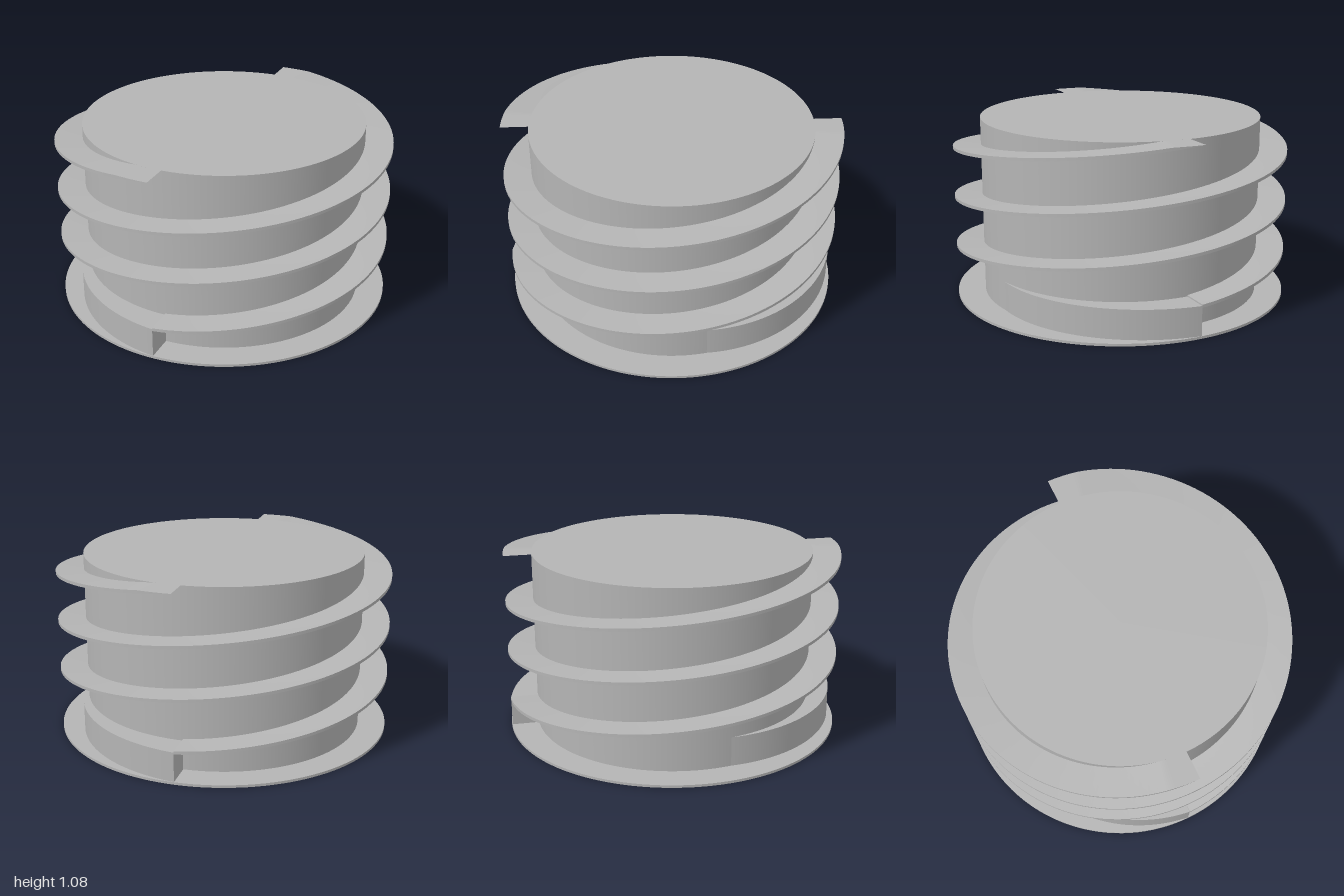
import * as THREE from 'three';
import { ParametricGeometry } from 'three/addons/geometries/ParametricGeometry.js';

const CORE = 0.835, RIM = 1, TOP = 1.08, BASE = 0.015;
const COLLAR_TOP = 0.19, LEAD = 0.6, THICK = 0.018;
const POCKET_R = 0.82, POCKET_IN = 0.015, POCKET_DEPTH = 0.17;
const rad = THREE.MathUtils.degToRad;
const mix = THREE.MathUtils.lerp;
const START = -26; // angle in degrees from the front, where threads and collars begin or end

export function createModel() {
  const grey = new THREE.MeshStandardMaterial({ color: 0xb4b4b4, side: THREE.DoubleSide });
  grey.name = 'grey';
  const model = new THREE.Group();
  model.name = 'doubleThreadScrew';

  const add = (parent, name, geometry) => {
    const mesh = new THREE.Mesh(geometry, grey);
    mesh.name = name;
    parent.add(mesh);
    return mesh;
  };

  // Surface whose rule returns [radius, angle in degrees, height]
  const sheet = (parent, name, nu, nv, rule) =>
    add(parent, name, new ParametricGeometry((u, v, p) => {
      const [r, a, y] = rule(u, v);
      p.set(r * Math.sin(rad(a)), y, r * Math.cos(rad(a)));
    }, nu, nv));

  // Core drum
  const drum = add(model, 'coreWall', new THREE.CylinderGeometry(CORE, CORE, TOP - BASE, 128, 1, true));
  drum.position.y = (TOP + BASE) / 2;
  const lid = add(model, 'coreTop', new THREE.CircleGeometry(CORE, 128));
  lid.rotation.x = -Math.PI / 2;
  lid.position.y = TOP;

  // Swept edge of each pocket, as an angle for a radius
  const sweep = (r) => -64 + 46 * r;
  const pocketRadius = (t) => mix(POCKET_IN, POCKET_R, t);

  // Base disc with two swirling openings
  const disc = new THREE.Shape().absarc(0, 0, RIM, 0, Math.PI * 2);
  for (const turn of [0, 180]) {
    const pts = [];
    const put = (r, a) => pts.push(new THREE.Vector2(r * Math.sin(rad(a + turn)), r * Math.cos(rad(a + turn))));
    const edge = sweep(POCKET_R);
    for (let i = 0; i <= 40; i++) put(POCKET_R, mix(90, edge, i / 40));
    for (let i = 1; i <= 16; i++) put(pocketRadius(1 - i / 16), sweep(pocketRadius(1 - i / 16)));
    for (let i = 1; i <= 6; i++) put(POCKET_IN, mix(sweep(POCKET_IN), 90, i / 6));
    disc.holes.push(new THREE.Path(pts));
  }
  const plate = new THREE.ExtrudeGeometry(disc, { depth: BASE, bevelEnabled: false, curveSegments: 64 });
  plate.rotateX(Math.PI / 2).translate(0, BASE, 0);
  add(model, 'baseDisc', plate);

  // Each start of the screw, repeated half a turn round
  for (let k = 0; k < 2; k++) {
    const half = new THREE.Group();
    half.name = k ? 'secondStart' : 'firstStart';
    half.rotation.y = k * Math.PI;
    model.add(half);

    // Helical thread, trimmed flush with the top of the drum
    const angle = (t) => START + 540 * t;
    const low = (t) => 0.18 + LEAD * 1.5 * t;
    const high = (t) => Math.min(low(t) + THICK, TOP);
    const inner = CORE - 0.01;
    sheet(half, 'threadTop', 1, 196, (u, v) => [mix(CORE, RIM, u), angle(v), high(v)]);
    sheet(half, 'threadUnderside', 196, 1, (u, v) => [mix(inner, RIM, v), angle(u), low(u)]);
    sheet(half, 'threadRim', 196, 1, (u, v) => [RIM, angle(u), mix(low(u), high(u), v)]);
    sheet(half, 'threadStart', 1, 1, (u, v) => [mix(inner, RIM, u), START, mix(low(0), high(0), v)]);

    // Collar that widens from the drum to the rim, then stops at a step
    const ca = (t) => mix(START - 79, START, t);
    const cr = (t) => mix(CORE, RIM - 0.002, t);
    sheet(half, 'collarWall', 40, 1, (u, v) => [cr(u), ca(u), mix(BASE, COLLAR_TOP, v)]);
    sheet(half, 'collarTop', 1, 40, (u, v) => [mix(CORE - 0.003, cr(v), u), ca(v), COLLAR_TOP]);
    sheet(half, 'collarStep', 1, 1, (u, v) => [mix(CORE - 0.003, cr(1), v), START, mix(BASE, COLLAR_TOP, u)]);

    // Pocket below, with a ramped ceiling, a round wall and a swept end wall
    const pa = (t, r) => mix(sweep(r), 90, t);
    const ceiling = (t) => POCKET_DEPTH * (1 - t);
    sheet(half, 'pocketRamp', 40, 16, (u, v) => {
      const r = pocketRadius(v);
      return [r, pa(u, r), ceiling(u)];
    });
    sheet(half, 'pocketWall', 1, 40, (u, v) => [POCKET_R, pa(v, POCKET_R), u * ceiling(v)]);
    sheet(half, 'pocketEnd', 1, 16, (u, v) => {
      const r = pocketRadius(v);
      return [r, sweep(r), u * POCKET_DEPTH];
    });
  }
  return model;
}
